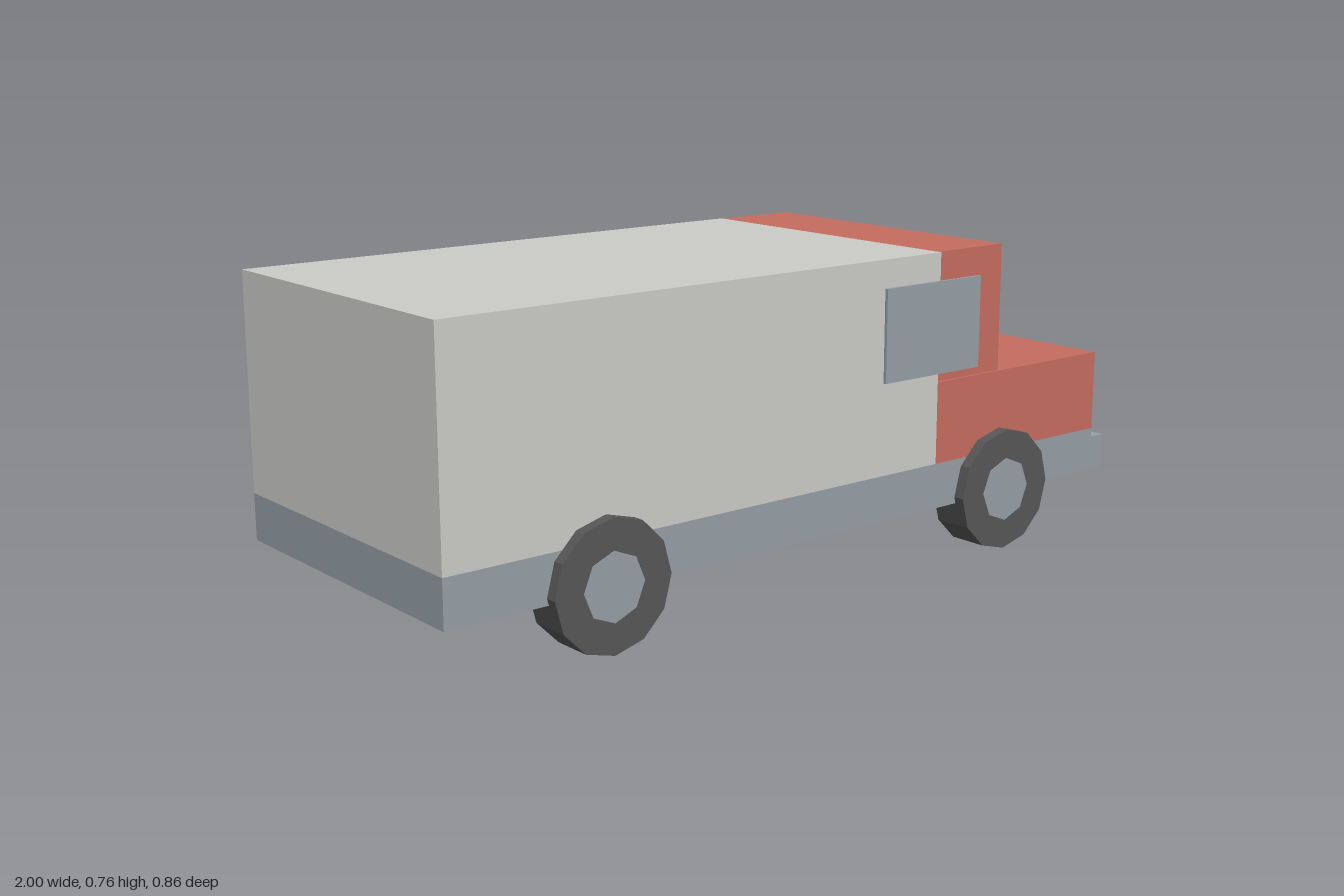
import * as THREE from 'three';

const flat = (name, color) => {
  const m = new THREE.MeshStandardMaterial({ color });
  m.name = name;
  return m;
};

export function createModel() {
  const van = new THREE.Group();
  van.name = 'deliveryVan';

  const red = flat('cabRed', 0xc66c60);
  const grey = flat('cargoGrey', 0xcbcbc8);
  const steel = flat('steelBlue', 0x959fa6);
  const rubber = flat('tyreRubber', 0x575758);

  // Box given by its minimum and maximum on each axis
  const box = (name, material, [x0, x1], [y0, y1], [z0, z1]) => {
    const mesh = new THREE.Mesh(new THREE.BoxGeometry(x1 - x0, y1 - y0, z1 - z0), material);
    mesh.position.set((x0 + x1) / 2, (y0 + y1) / 2, (z0 + z1) / 2);
    mesh.name = name;
    van.add(mesh);
  };

  // Chassis and bumper
  box('chassis', steel, [-1, 0.955], [0.135, 0.246], [-0.4, 0.4]);
  box('bumper', steel, [0.955, 1], [0.135, 0.223], [-0.4, 0.4]);

  // Body: cargo box, hood and slightly narrower cab
  box('cargoBox', grey, [-1, 0.378], [0.246, 0.757], [-0.4, 0.4]);
  box('hood', red, [0.378, 0.955], [0.246, 0.446], [-0.4, 0.4]);
  box('cab', red, [0.378, 0.596], [0.446, 0.757], [-0.392, 0.392]);

  // Glazing
  box('windshield', steel, [0.596, 0.621], [0.468, 0.69], [-0.355, 0.355]);
  for (const s of [-1, 1]) {
    const z = [s * 0.3995, s * 0.408].sort((a, b) => a - b);
    box('sideWindow', steel, [0.197, 0.508], [0.468, 0.69], z);
  }

  // Wheels: twelve-sided tyre with an eight-sided hub
  const tyreGeo = new THREE.CylinderGeometry(0.151, 0.151, 0.098, 12).toNonIndexed();
  const hubGeo = new THREE.CylinderGeometry(0.079, 0.079, 0.101, 8).toNonIndexed();
  for (const geo of [tyreGeo, hubGeo]) {
    geo.rotateX(Math.PI / 2);
    geo.computeVertexNormals();
  }
  for (const [end, x] of [['rear', -0.603], ['front', 0.598]]) {
    for (const s of [-1, 1]) {
      const wheel = new THREE.Group();
      wheel.name = end + 'Wheel';
      const tyre = new THREE.Mesh(tyreGeo, rubber);
      tyre.name = 'tyre';
      const hub = new THREE.Mesh(hubGeo, steel);
      hub.name = 'hub';
      wheel.add(tyre, hub);
      wheel.position.set(x, 0.151, s * 0.379);
      van.add(wheel);
    }
  }
  return van;
}
